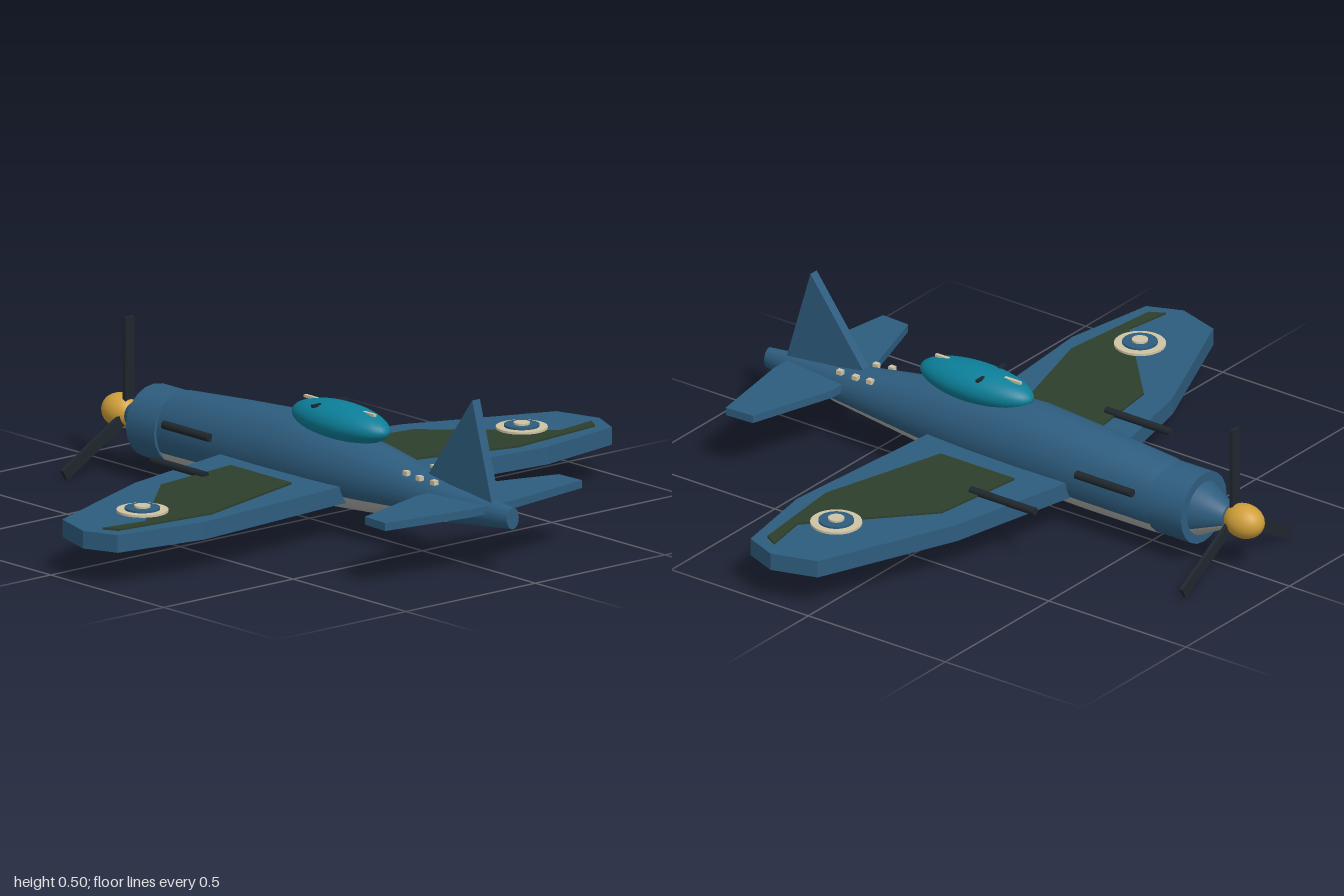
import * as THREE from 'three';

const mat = (name, color, extra = {}) =>
  Object.assign(new THREE.MeshStandardMaterial({ color, ...extra }), { name });

export function createModel() {
  const blue = mat('airframe blue', 0x2e5d7f);
  const grey = mat('belly grey', 0xaeb0ab);
  const green = mat('camouflage green', 0x2d3f2c);
  const teal = mat('canopy teal', 0x0c7f99);
  const gold = mat('spinner gold', 0xd09f3a);
  const dark = mat('gunmetal', 0x1f272d);
  const cream = mat('marking cream', 0xd0c4a4);

  const model = new THREE.Group();
  const add = (name, geometry, material, x = 0, y = 0, z = 0, parent = model) => {
    const mesh = new THREE.Mesh(geometry, material);
    mesh.name = name;
    mesh.position.set(x, y, z);
    parent.add(mesh);
    return mesh;
  };
  const box = (x, y, z) => new THREE.BoxGeometry(x, y, z);

  // Flat slab from a plan outline of [x, z] points, rising from y = 0
  const slab = (points, height) => {
    const shape = new THREE.Shape(points.map(([x, z]) => new THREE.Vector2(x, -z)));
    return new THREE.ExtrudeGeometry(shape, { depth: height, bevelEnabled: false }).rotateX(-Math.PI / 2);
  };
  const mirrored = (half) => [...half, ...half.map(([x, z]) => [-x, z]).reverse()];

  // Fuselage: elliptical sections [z, centre y, half width, half height], tail to nose
  const sections = [
    [0.9, 0.179, 0.023, 0.032],
    [0.64, 0.176, 0.056, 0.059],
    [0.3, 0.185, 0.097, 0.104],
    [0.1, 0.188, 0.112, 0.122],
    [-0.08, 0.188, 0.116, 0.131],
    [-0.3, 0.177, 0.112, 0.126],
    [-0.55, 0.166, 0.102, 0.116],
    [-0.69, 0.165, 0.08, 0.082],
    [-0.78, 0.165, 0.035, 0.036],
  ];
  add('fuselage', fuselageGeometry(sections, 36), [blue, grey]);

  // Engine cowling and spinner
  const cowl = new THREE.CylinderGeometry(0.11, 0.11, 0.125, 20).rotateX(Math.PI / 2);
  add('cowling', cowl, blue, 0, 0.166, -0.625);
  const spinner = new THREE.SphereGeometry(1, 28, 18).scale(0.051, 0.052, 0.065);
  add('spinner', spinner, gold, 0, 0.167, -0.835);

  // Three-bladed propeller
  const propeller = new THREE.Group();
  propeller.name = 'propeller';
  propeller.position.set(0, 0.165, -0.8);
  model.add(propeller);
  for (let i = 0; i < 3; i++) {
    const blade = box(0.036, 0.29, 0.012).translate(0, 0.145, 0).rotateZ((i * Math.PI * 2) / 3);
    add('propellerBlade', blade, dark, 0, 0, 0, propeller);
  }

  // Wing and tailplane
  const wing = mirrored([
    [0.1, -0.27], [0.52, -0.18], [0.955, 0], [0.998, 0.14],
    [0.955, 0.245], [0.664, 0.295], [0.1, 0.247],
  ].reverse());
  add('wing', slab(wing, 0.053), blue, 0, 0.111, 0);
  const tailplane = mirrored([
    [0.09, 0.815], [0.38, 0.77], [0.375, 0.675], [0.1, 0.59],
  ]);
  add('tailplane', slab(tailplane, 0.024), blue, 0, 0.181, 0);

  // Tail fin, drawn in side profile as (z, y)
  const finShape = new THREE.Shape([
    new THREE.Vector2(-0.83, 0.19), new THREE.Vector2(-0.5, 0.19),
    new THREE.Vector2(-0.55, 0.255), new THREE.Vector2(-0.737, 0.505),
  ]);
  const fin = new THREE.ExtrudeGeometry(finShape, { depth: 0.03, bevelEnabled: false })
    .translate(0, 0, -0.015).rotateY(Math.PI / 2);
  add('tailFin', fin, blue);

  // Canopy with its cross bar and top rail
  const canopy = new THREE.SphereGeometry(1, 36, 24).scale(0.078, 0.057, 0.2);
  add('canopy', canopy, teal, 0, 0.325, 0.14);
  add('canopyCrossBar', box(0.136, 0.008, 0.01), dark, 0, 0.37, 0.09);
  add('canopyRail', box(0.01, 0.008, 0.31), cream, 0, 0.37, 0.135);

  const camouflage = [
    [0.185, -0.137], [0.487, -0.1], [0.66, 0.06], [0.8, 0.19],
    [0.945, 0.166], [0.92, 0.21], [0.593, 0.245], [0.185, 0.133],
  ];
  // Target rings as [radius, colour], each stacked on the one below
  const rings = [[0.076, cream], [0.052, blue], [0.024, cream]];

  for (const side of [-1, 1]) {
    // Camouflage patch and roundel on the wing
    add('wingCamouflage', slab(camouflage.map(([x, z]) => [x * side, z]), 0.006), green, 0, 0.164, 0);
    rings.forEach(([r, material], i) =>
      add('roundelRing', new THREE.CylinderGeometry(r, r, 0.007, 32), material,
        side * 0.733, 0.1735 + i * 0.006, 0.1));

    // Wing gun and exhaust
    const gun = new THREE.CylinderGeometry(0.012, 0.012, 0.235, 14).rotateX(Math.PI / 2);
    add('wingGun', gun, dark, side * 0.327, 0.172, -0.202);
    const exhaust = new THREE.CylinderGeometry(0.0125, 0.0125, 0.205, 14).rotateX(Math.PI / 2);
    add('exhaust', exhaust, dark, side * 0.114, 0.205, -0.411);

    // Small lights along the rear fuselage
    [[0.053, 0.245, 0.49], [0.05, 0.24, 0.545], [0.046, 0.238, 0.605]].forEach(([x, y, z]) =>
      add('rearLight', box(0.016, 0.014, 0.018), cream, side * x, y, z));
  }
  return model;
}

// Skin over elliptical sections: group 0 upper body and end caps, group 1 belly
function fuselageGeometry(sections, sides) {
  const positions = [], upper = [], belly = [];
  const ring = ([z, cy, rx, ry]) => {
    for (let i = 0; i < sides; i++) {
      const a = (i / sides) * Math.PI * 2;
      positions.push(rx * Math.cos(a), cy + ry * Math.sin(a), z);
    }
  };
  sections.forEach(ring);
  for (let s = 0; s < sections.length - 1; s++) {
    for (let i = 0; i < sides; i++) {
      const j = (i + 1) % sides;
      const a = s * sides + i, b = s * sides + j;
      const low = Math.sin(((i + 0.5) / sides) * Math.PI * 2) < -0.5;
      const list = s > 0 && low ? belly : upper;
      list.push(a, a + sides, b, b, a + sides, b + sides);
    }
  }
  // End caps with their own vertices for crisp rims
  [sections[0], sections[sections.length - 1]].forEach((section, end) => {
    const base = positions.length / 3;
    ring(section);
    for (let i = 1; i < sides - 1; i++) {
      if (end === 0) upper.push(base, base + i, base + i + 1);
      else upper.push(base, base + i + 1, base + i);
    }
  });
  const geometry = new THREE.BufferGeometry();
  geometry.setAttribute('position', new THREE.Float32BufferAttribute(positions, 3));
  geometry.setIndex([...upper, ...belly]);
  geometry.addGroup(0, upper.length, 0);
  geometry.addGroup(upper.length, belly.length, 1);
  geometry.computeVertexNormals();
  return geometry;
}
